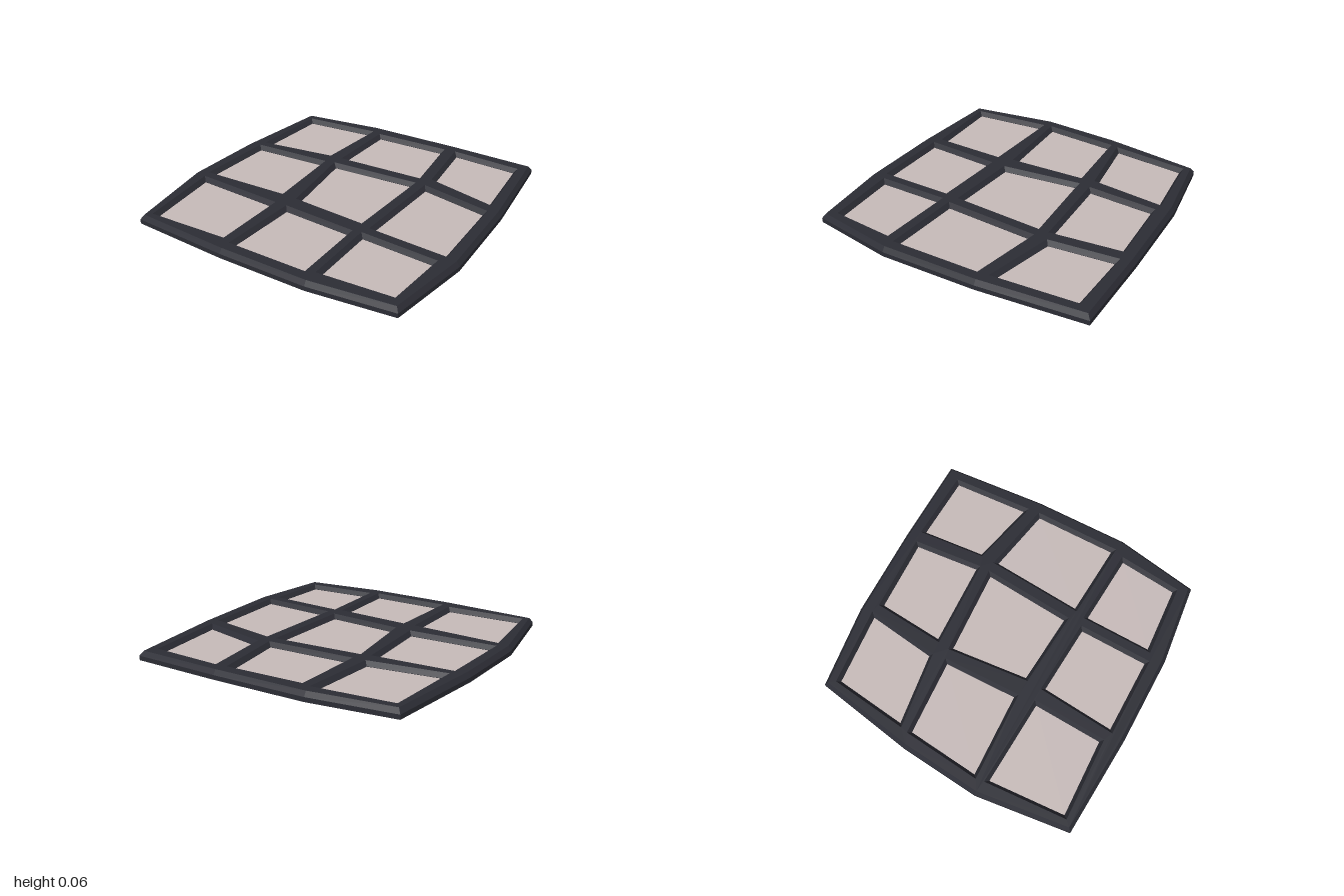
import * as THREE from 'three';

const HEIGHT = 0.06, SHOULDER = 0.03, BEVEL = 0.022;

// Plan outlines as [x, z], running clockwise seen from above
const OUTLINE = [
  [-0.855, -0.88], [-0.3, -0.96], [0.33, -0.98], [0.93, -0.98], [0.99, -0.29], [1, 0.35],
  [0.905, 0.91], [0.35, 0.975], [-0.25, 0.975], [-0.915, 0.94], [-1, 0.32], [-0.96, -0.22],
];
const PANES = [
  [[-0.785, -0.80], [-0.305, -0.85], [-0.36, -0.39], [-0.835, -0.32]],
  [[-0.20, -0.84], [0.285, -0.865], [0.33, -0.43], [-0.23, -0.40]],
  [[0.405, -0.875], [0.84, -0.865], [0.875, -0.36], [0.445, -0.455]],
  [[-0.85, -0.225], [-0.35, -0.26], [-0.335, 0.23], [-0.89, 0.255]],
  [[-0.24, -0.28], [0.33, -0.32], [0.29, 0.265], [-0.185, 0.235]],
  [[0.44, -0.32], [0.885, -0.24], [0.89, 0.315], [0.40, 0.29]],
  [[-0.88, 0.355], [-0.315, 0.38], [-0.33, 0.84], [-0.84, 0.86]],
  [[-0.19, 0.38], [0.28, 0.405], [0.275, 0.865], [-0.225, 0.865]],
  [[0.38, 0.395], [0.86, 0.42], [0.825, 0.81], [0.375, 0.84]],
];

// Grow (or shrink) a clockwise outline with mitred corners
function offset(loop, amount) {
  const n = loop.length;
  const normal = (a, b) => new THREE.Vector2(b[1] - a[1], a[0] - b[0]).normalize();
  return loop.map((p, i) => {
    const n1 = normal(loop[(i + n - 1) % n], p);
    const n2 = normal(p, loop[(i + 1) % n]);
    const k = amount / (1 + n1.dot(n2));
    return [p[0] + (n1.x + n2.x) * k, p[1] + (n1.y + n2.y) * k];
  });
}

// Flat-shaded band joining outlines at successive heights
function wall(levels) {
  const pos = [];
  for (let l = 0; l < levels.length - 1; l++) {
    const [y0, low] = levels[l], [y1, high] = levels[l + 1];
    low.forEach((_, i) => {
      const j = (i + 1) % low.length;
      const at = (p, y) => [p[0], y, p[1]];
      const a = at(low[i], y0), b = at(low[j], y0), c = at(high[j], y1), d = at(high[i], y1);
      pos.push(...a, ...d, ...b, ...b, ...d, ...c);
    });
  }
  const g = new THREE.BufferGeometry();
  g.setAttribute('position', new THREE.Float32BufferAttribute(pos, 3));
  g.computeVertexNormals();
  return g;
}

// Horizontal face with optional openings, facing up (1) or down (-1)
function face(outer, holes, y, facing) {
  const points = (loop) => loop.map(([x, z]) => new THREE.Vector2(x, -facing * z));
  const shape = new THREE.Shape(points(outer));
  holes.forEach((h) => shape.holes.push(new THREE.Path(points(h))));
  return new THREE.ShapeGeometry(shape).rotateX(-facing * Math.PI / 2).translate(0, y, 0);
}

export function createModel() {
  const frameMat = new THREE.MeshStandardMaterial({ color: 0x2c2d35 });
  frameMat.name = 'dark frame';
  const glassMat = new THREE.MeshStandardMaterial({ color: 0xc8bcba });
  glassMat.name = 'pale glass';

  const model = new THREE.Group();
  model.name = 'latticeWindow';
  const frame = new THREE.Group();
  frame.name = 'frame';
  const panes = new THREE.Group();
  panes.name = 'panes';
  model.add(frame, panes);

  const add = (parent, name, geometry, material) => {
    const mesh = new THREE.Mesh(geometry, material);
    mesh.name = name;
    parent.add(mesh);
  };

  // Frame faces and bevelled outer rim
  const topOutline = offset(OUTLINE, -BEVEL);
  const topHoles = PANES.map((p) => offset(p, BEVEL));
  add(frame, 'frameTop', face(topOutline, topHoles, HEIGHT, 1), frameMat);
  add(frame, 'frameBottom', face(OUTLINE, PANES, 0, -1), frameMat);
  add(frame, 'outerRim', wall([[0, OUTLINE], [SHOULDER, OUTLINE], [HEIGHT, topOutline]]), frameMat);

  // Bevelled openings, each with a thin pane
  PANES.forEach((p, i) => {
    const inner = [...p].reverse(), upper = [...topHoles[i]].reverse();
    add(frame, `opening${i + 1}`, wall([[0, inner], [SHOULDER, inner], [HEIGHT, upper]]), frameMat);
    add(panes, `paneTop${i + 1}`, face(p, [], 0.028, 1), glassMat);
    add(panes, `paneBottom${i + 1}`, face(p, [], 0.022, -1), glassMat);
  });
  return model;
}
